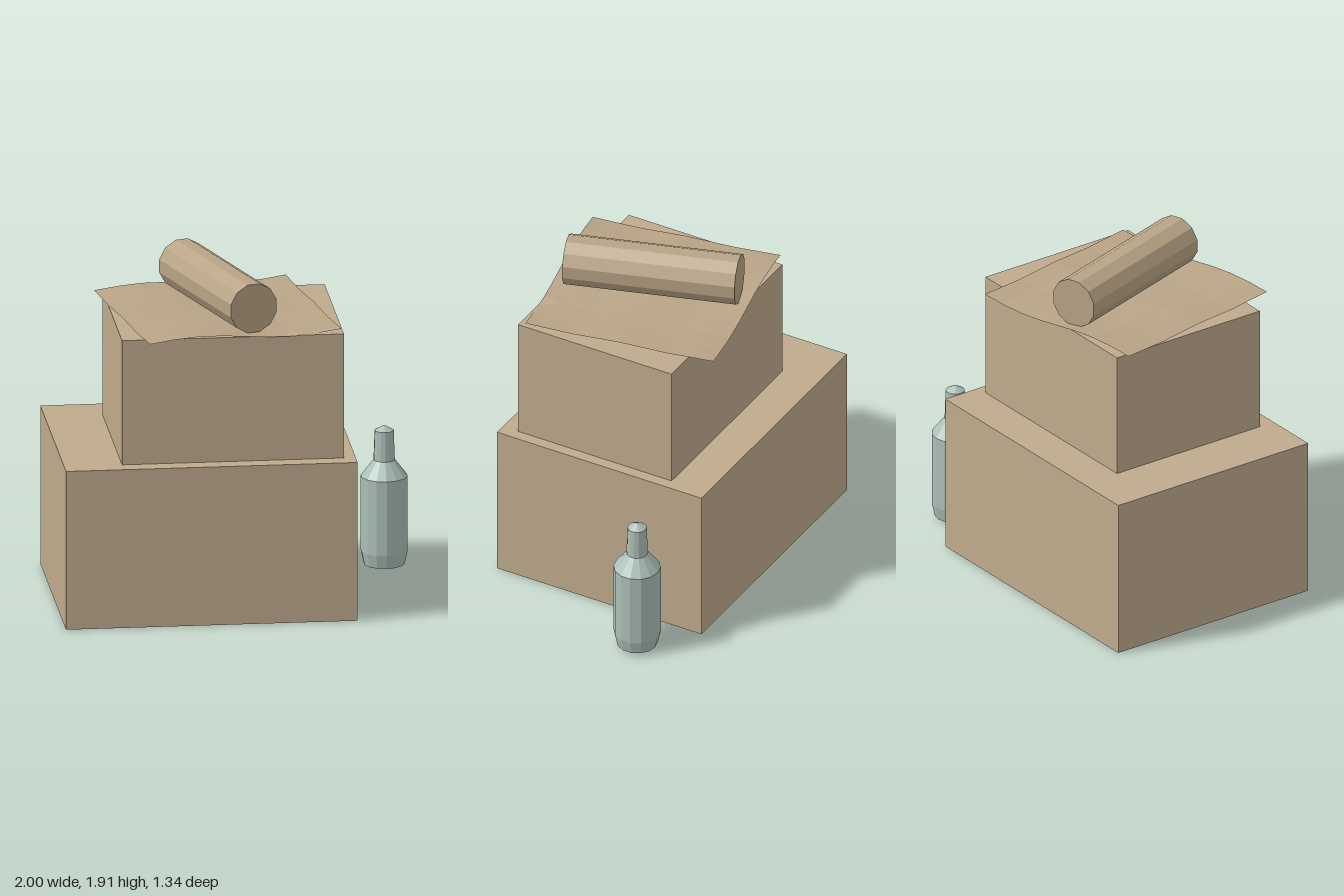
import * as THREE from 'three';

function material(name, color, side = THREE.FrontSide) {
  const m = new THREE.MeshStandardMaterial({ color, flatShading: true, side });
  m.name = name;
  return m;
}

export function createModel() {
  const group = new THREE.Group();
  const cardboard = material('cardboard tan', 0xbfaa8d);
  const paper = material('paper tan', 0xb9a486, THREE.DoubleSide);
  const glass = material('pale green glass', 0xabbfb7);

  const add = (name, geometry, mat, x, y, z) => {
    const mesh = new THREE.Mesh(geometry, mat);
    mesh.name = name;
    mesh.position.set(x, y, z);
    group.add(mesh);
    return mesh;
  };

  // Two stacked boxes
  add('lowerBox', new THREE.BoxGeometry(1.61, 0.905, 1.29), cardboard, -0.195, 0.4525, -0.03);
  add('upperBox', new THREE.BoxGeometry(1.225, 0.71, 0.97), cardboard, -0.0675, 1.26, 0.035);

  // Wavy sheet of wrapping paper, turned on top of the upper box
  const size = 1.095;
  const sheet = new THREE.PlaneGeometry(size, size, 8, 8).rotateX(-Math.PI / 2);
  const pos = sheet.attributes.position;
  for (let i = 0; i < pos.count; i++) {
    const u = pos.getX(i) / size + 0.5;
    const v = pos.getZ(i) / size + 0.5;
    const edge = Math.abs(2 * v - 1) ** 3;
    pos.setY(i, (0.008 + 0.012 * edge) * Math.sin(u * Math.PI * 2) + 0.004 * Math.cos(v * Math.PI * 4));
  }
  sheet.computeVertexNormals();
  add('wrappingSheet', sheet, paper, -0.0975, 1.629, 0.035).rotation.y = THREE.MathUtils.degToRad(10);

  // Paper roll lying across the sheet
  const roll = new THREE.CylinderGeometry(0.142, 0.142, 0.966, 12)
    .rotateY(Math.PI / 12)
    .rotateX(Math.PI / 2);
  add('paperRoll', roll, paper, -0.0975, 1.768, 0.032).rotation.y = THREE.MathUtils.degToRad(17.8);

  // Bottle standing beside the boxes
  const profile = [
    [0, 0], [0.113, 0.018], [0.13, 0.095], [0.13, 0.52],
    [0.059, 0.612], [0.053, 0.78], [0, 0.81],
  ].map(([r, y]) => new THREE.Vector2(r, y));
  add('bottle', new THREE.LatheGeometry(profile, 14), glass, 0.87, 0, -0.418);

  return group;
}
